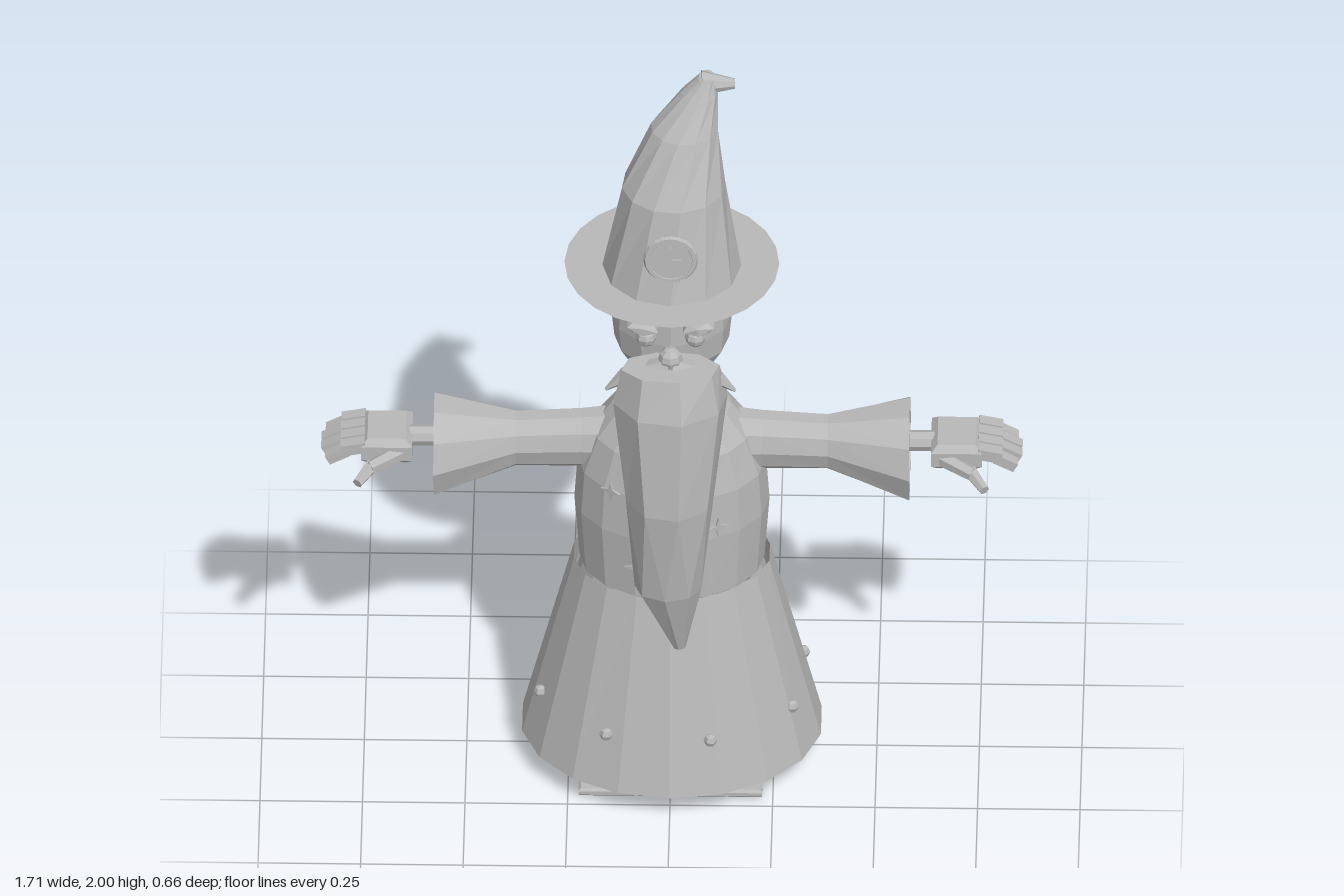
import * as THREE from 'three';

const stone = new THREE.MeshStandardMaterial({ color: 0xb8b8b8, flatShading: true, side: THREE.DoubleSide });
stone.name = 'plain grey';

function add(parent, name, geometry, x = 0, y = 0, z = 0) {
  const m = new THREE.Mesh(geometry, stone);
  m.name = name;
  m.position.set(x, y, z);
  parent.add(m);
  return m;
}

// Skin over elliptical rings stacked upward: [y, cx, cz, rx, rz, twist]
function loft(rings, sides, capStart = false, capEnd = false) {
  const pos = [], index = [];
  for (const [y, cx, cz, rx, rz, twist = 0] of rings) {
    for (let j = 0; j < sides; j++) {
      const a = (j / sides) * Math.PI * 2 + twist;
      pos.push(cx + rx * Math.sin(a), y, cz + rz * Math.cos(a));
    }
  }
  for (let i = 0; i < rings.length - 1; i++) {
    for (let j = 0; j < sides; j++) {
      const k = (j + 1) % sides;
      const a = i * sides + j, b = i * sides + k, c = a + sides, d = b + sides;
      index.push(a, b, d, a, d, c);
    }
  }
  const last = (rings.length - 1) * sides;
  for (let j = 1; j < sides - 1; j++) {
    if (capStart) index.push(0, j + 1, j);
    if (capEnd) index.push(last, last + j, last + j + 1);
  }
  const g = new THREE.BufferGeometry();
  g.setAttribute('position', new THREE.Float32BufferAttribute(pos, 3));
  g.setIndex(index);
  g.computeVertexNormals();
  return g;
}

// Tapered rod between two points
function rod(parent, name, from, to, r0, r1, sides = 6) {
  const a = new THREE.Vector3(...from), b = new THREE.Vector3(...to);
  const m = add(parent, name, new THREE.CylinderGeometry(r1, r0, a.distanceTo(b), sides));
  m.position.copy(a).lerp(b, 0.5);
  m.quaternion.setFromUnitVectors(new THREE.Vector3(0, 1, 0), b.sub(a).normalize());
  return m;
}

// Box with its long edges bevelled
function bevelBox(w, h, d, b) {
  const s = new THREE.Shape();
  const x = w / 2 - b, y = d / 2 - b;
  s.moveTo(-x, -y).lineTo(x, -y).lineTo(x, y).lineTo(-x, y).closePath();
  const g = new THREE.ExtrudeGeometry(s, {
    depth: h - 2 * b, bevelEnabled: true, bevelSize: b, bevelThickness: b, bevelSegments: 1
  });
  return g.translate(0, 0, b - h / 2).rotateX(-Math.PI / 2);
}

function starShape(r) {
  const s = new THREE.Shape();
  for (let i = 0; i < 8; i++) {
    const a = (i / 8) * Math.PI * 2, q = i % 2 ? r * 0.3 : r;
    if (i) s.lineTo(q * Math.sin(a), q * Math.cos(a));
    else s.moveTo(0, r);
  }
  return s;
}

// One arm on the +x side: sleeve, forearm and hand
function makeArm() {
  const arm = new THREE.Group();
  const sleeve = add(arm, 'sleeve', loft([
    [0.12, -0.93, -0.015, 0.085, 0.075], [0.22, -0.925, -0.015, 0.078, 0.062],
    [0.38, -0.92, -0.015, 0.072, 0.062], [0.58, -0.9, -0.015, 0.132, 0.132],
    [0.58, -0.9, -0.015, 0.105, 0.105], [0.38, -0.92, -0.015, 0.05, 0.045]
  ], 10, false, true));
  sleeve.rotation.z = -Math.PI / 2;
  rod(arm, 'forearm', [0.3, 0.925, -0.015], [0.64, 0.925, -0.015], 0.026, 0.026, 8);
  add(arm, 'palm', bevelBox(0.125, 0.072, 0.145, 0.016), 0.695, 0.92, -0.015);
  for (let i = 0; i < 4; i++) {
    const z = -0.072 + i * 0.037, reach = [0.84, 0.85, 0.85, 0.84][i];
    const finger = new THREE.Group();
    finger.name = 'finger';
    const knuckle = add(finger, 'fingerBase', new THREE.BoxGeometry(0.06, 0.03, 0.031), 0.775, 0.93, z);
    knuckle.rotation.z = -0.2;
    const tip = add(finger, 'fingerTip', new THREE.BoxGeometry(0.055, 0.026, 0.029), reach - 0.025, 0.908, z);
    tip.rotation.z = -0.5;
    arm.add(finger);
  }
  rod(arm, 'thumbBase', [0.66, 0.915, 0.04], [0.735, 0.9, 0.085], 0.022, 0.018);
  rod(arm, 'thumbTip', [0.73, 0.9, 0.075], [0.765, 0.885, 0.13], 0.018, 0.013);
  return arm;
}

// One leg on the +x side, with its shoe
function makeLeg() {
  const leg = new THREE.Group();
  add(leg, 'sole', bevelBox(0.168, 0.022, 0.325, 0.006), 0.14, 0.011, 0.057);
  add(leg, 'shoe', bevelBox(0.15, 0.05, 0.29, 0.02), 0.14, 0.045, 0.057);
  add(leg, 'shoeTop', bevelBox(0.11, 0.04, 0.15, 0.015), 0.14, 0.08, 0.02);
  add(leg, 'ankle', loft([
    [0.09, 0.14, 0, 0.035, 0.035], [0.13, 0.14, 0, 0.055, 0.055], [0.16, 0.14, 0, 0.035, 0.035]
  ], 8, true, true));
  add(leg, 'shin', new THREE.CylinderGeometry(0.035, 0.035, 0.42, 8), 0.14, 0.37, 0);
  return leg;
}

// One side of the face, on +x
function makeFaceSide() {
  const side = new THREE.Group();
  const brow = add(side, 'eyebrow', new THREE.IcosahedronGeometry(1, 0), 0.068, 1.408, 0.175);
  brow.scale.set(0.045, 0.02, 0.026);
  brow.rotation.z = 0.2;
  add(side, 'eye', new THREE.SphereGeometry(0.026, 8, 6), 0.06, 1.362, 0.15);
  rod(side, 'moustache', [0, 1.3, 0.19], [0.11, 1.265, 0.18], 0.03, 0.022);
  rod(side, 'moustacheTip', [0.105, 1.268, 0.18], [0.158, 1.225, 0.185], 0.022, 0.004);
  return side;
}

export function createModel() {
  const model = new THREE.Group();
  model.name = 'wizard';

  // Robe: hollow skirt and rounded torso
  add(model, 'skirt', loft([
    [0.57, 0, -0.007, 0.22, 0.18], [0.07, 0, -0.007, 0.355, 0.308],
    [0.07, 0, -0.007, 0.37, 0.322], [0.585, 0, -0.007, 0.242, 0.2]
  ], 18));
  add(model, 'torso', loft([
    [0.575, 0, -0.01, 0.226, 0.188], [0.75, 0, -0.01, 0.238, 0.19], [0.87, 0, -0.01, 0.23, 0.182],
    [0.97, 0, -0.01, 0.195, 0.16], [1.035, 0, -0.015, 0.145, 0.125], [1.07, 0, -0.015, 0.085, 0.085]
  ], 16, true, true));

  // Eight studs round the hem
  for (let i = 0; i < 8; i++) {
    const a = 0.3 + (i / 8) * Math.PI * 2;
    add(model, 'hemStud', new THREE.SphereGeometry(0.017, 6, 4),
      0.334 * Math.sin(a), 0.215, -0.007 + 0.288 * Math.cos(a));
  }

  // Thin stars on the robe front
  for (const [x, y] of [[-0.145, 0.88], [0.115, 0.785], [-0.085, 0.665]]) {
    const g = new THREE.ExtrudeGeometry(starShape(0.028), { depth: 0.006, bevelEnabled: false });
    const z = -0.01 + 0.19 * Math.sqrt(1 - (x / 0.238) ** 2);
    const star = add(model, 'robeStar', g, x, y, z);
    star.rotation.y = Math.atan2(x / 0.0566, (z + 0.01) / 0.0361);
  }

  // Mirrored parts
  for (const sign of [1, -1]) {
    const label = sign > 0 ? 'left' : 'right';
    for (const [name, make] of [['Arm', makeArm], ['Leg', makeLeg], ['Face', makeFaceSide]]) {
      const part = make();
      part.name = label + name;
      part.scale.x = sign;
      model.add(part);
    }
  }

  // Neck, head and nose
  rod(model, 'neck', [0, 1.05, -0.02], [0, 1.2, -0.003], 0.022, 0.04, 6);
  add(model, 'head', loft([
    [1.175, 0, 0.012, 0.055, 0.055], [1.2, 0, 0.012, 0.105, 0.1], [1.26, 0, 0.012, 0.14, 0.132],
    [1.33, 0, 0.012, 0.147, 0.139], [1.4, 0, 0.012, 0.144, 0.137], [1.45, 0, 0.012, 0.125, 0.12],
    [1.478, 0, 0.012, 0.09, 0.09]
  ], 12, true, true));
  add(model, 'nose', new THREE.SphereGeometry(0.03, 8, 6), 0, 1.322, 0.185);

  // Beard, twisting toward its tip
  add(model, 'beard', loft([
    [0.47, 0.022, 0.225, 0.016, 0.016, 0.7], [0.665, -0.005, 0.243, 0.082, 0.062, 0.7],
    [0.93, 0, 0.222, 0.11, 0.11, 0.2], [1.2, 0, 0.185, 0.142, 0.12, 0.2],
    [1.305, 0, 0.2, 0.122, 0.065, 0.2]
  ], 8, true, true));

  // Hat: flat brim and bent, twisted cone
  const brim = add(model, 'hatBrim', new THREE.CircleGeometry(0.262, 24), 0, 1.476, 0.002);
  brim.rotation.x = -Math.PI / 2;
  add(model, 'hatCone', loft([
    [1.472, 0, 0.012, 0.17, 0.168, 0], [1.715, 0.004, 0, 0.127, 0.12, 0.15],
    [1.865, 0.03, -0.035, 0.083, 0.076, 0.35], [1.95, 0.066, -0.062, 0.045, 0.046, 0.5],
    [1.99, 0.084, -0.072, 0.02, 0.03, 0.5]
  ], 12, false, true));
  rod(model, 'hatTip', [0.07, 1.972, -0.072], [0.152, 1.966, -0.078], 0.032, 0.013, 8);

  // Clock badge on the hat
  const clock = new THREE.Group();
  clock.name = 'clock';
  clock.position.set(0, 1.605, 0.158);
  clock.rotation.x = -0.08;
  const face = add(clock, 'clockFace', new THREE.CylinderGeometry(0.058, 0.058, 0.012, 20));
  face.rotation.x = Math.PI / 2;
  add(clock, 'clockRim', new THREE.TorusGeometry(0.058, 0.009, 6, 20));
  add(clock, 'minuteHand', new THREE.BoxGeometry(0.007, 0.04, 0.006), 0, 0.018, 0.008);
  add(clock, 'hourHand', new THREE.BoxGeometry(0.03, 0.007, 0.006), 0.013, 0, 0.008);
  model.add(clock);

  return model;
}
